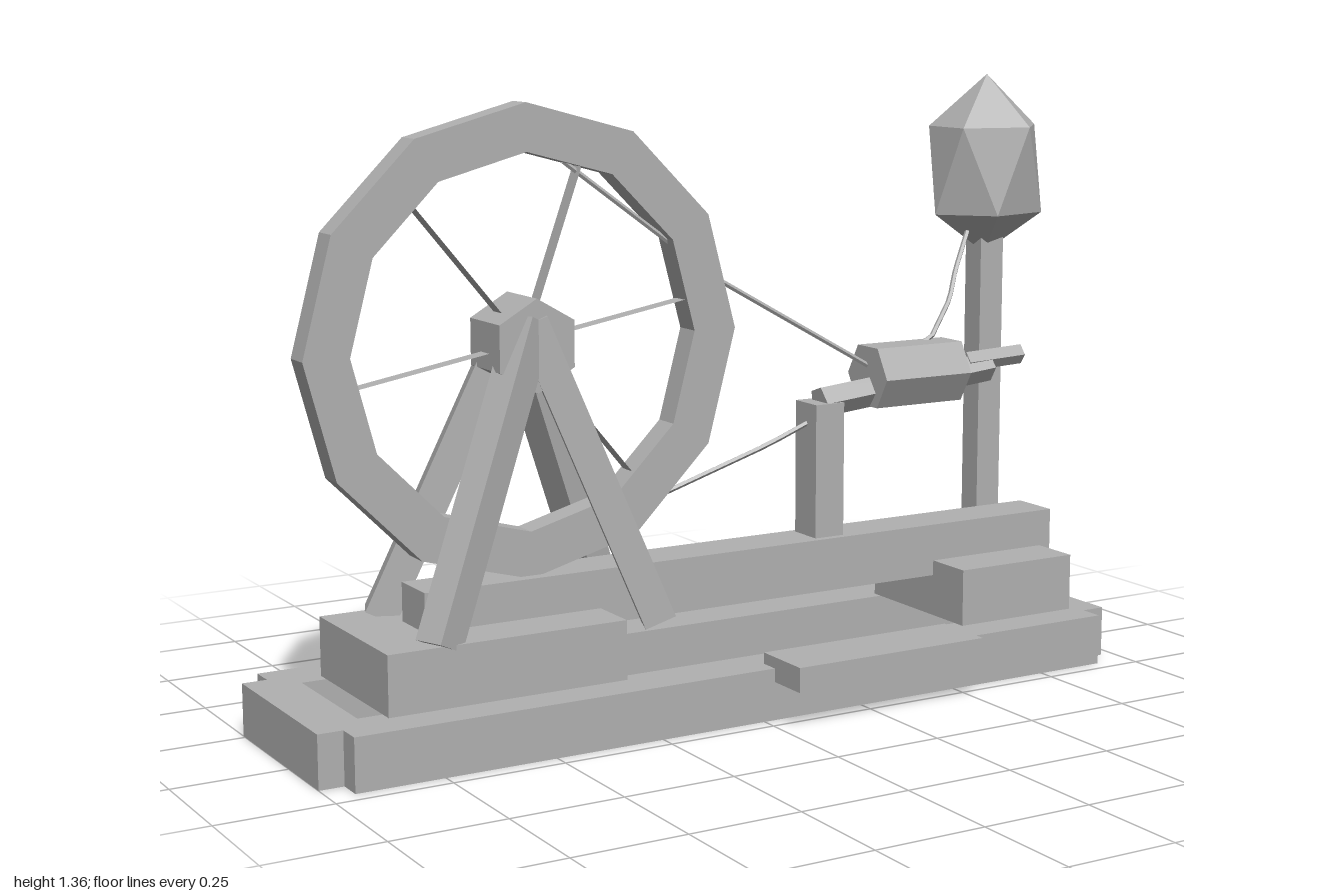
import * as THREE from 'three';
import { ConvexGeometry } from 'three/addons/geometries/ConvexGeometry.js';

const V = (x, y, z) => new THREE.Vector3(x, y, z);

export function createModel() {
  const model = new THREE.Group();
  model.name = 'spinningWheel';
  const grey = new THREE.MeshStandardMaterial({ color: 0xb0b0b0, flatShading: true, side: THREE.DoubleSide });
  grey.name = 'plain grey';

  const add = (name, geometry, parent = model) => {
    const mesh = new THREE.Mesh(geometry, grey);
    mesh.name = name;
    parent.add(mesh);
    return mesh;
  };
  // Box given by its min and max on each axis
  const box = (name, x0, x1, y0, y1, z0, z1) => {
    const mesh = add(name, new THREE.BoxGeometry(x1 - x0, y1 - y0, z1 - z0));
    mesh.position.set((x0 + x1) / 2, (y0 + y1) / 2, (z0 + z1) / 2);
    return mesh;
  };
  // Prism with the given number of sides running from a to b
  const prism = (name, a, b, radius, sides) => {
    const dir = b.clone().sub(a);
    const mesh = add(name, new THREE.CylinderGeometry(radius, radius, dir.length(), sides));
    mesh.position.copy(a).add(b).multiplyScalar(0.5);
    mesh.quaternion.setFromUnitVectors(V(0, 1, 0), dir.normalize());
    return mesh;
  };
  // Thin cord through a few points
  const cord = (name, points, radius) => {
    const path = new THREE.CurvePath();
    for (let i = 1; i < points.length; i++) path.add(new THREE.LineCurve3(points[i - 1], points[i]));
    return add(name, new THREE.TubeGeometry(path, (points.length - 1) * 4, radius, 5));
  };
  const outline = (pts, Type) => new Type(pts.map(([x, y]) => new THREE.Vector2(x, y)));

  // Base frame: two long rails and two end rails around an opening
  const frame = outline([
    [-0.945, -0.215], [0.915, -0.215], [0.915, -0.16], [0.97, -0.16], [0.97, 0.26], [0.915, 0.26],
    [0.915, 0.315], [-0.945, 0.315], [-0.945, 0.26], [-1, 0.26], [-1, -0.16], [-0.945, -0.16],
  ], THREE.Shape);
  frame.holes.push(outline([[-0.89, -0.1], [-0.89, 0.2], [0.86, 0.2], [0.86, -0.1]], THREE.Path));
  add('baseFrame', new THREE.ExtrudeGeometry(frame, { depth: 0.115, bevelEnabled: false }))
    .rotation.x = -Math.PI / 2;

  // Blocks, beam, posts and pedal
  box('wheelBlock', -0.835, -0.29, 0.115, 0.245, -0.23, 0.13);
  box('distaffBlock', 0.585, 0.895, 0.115, 0.245, -0.225, 0.13);
  box('beam', -0.7, 0.925, 0.21, 0.33, -0.103, 0.013);
  box('spindlePost', 0.27, 0.345, 0.33, 0.635, -0.09, -0.005);
  box('distaffPost', 0.825, 0.89, 0.24, 0.98, -0.205, -0.145);
  box('pedal', 0.025, 0.505, 0.085, 0.14, 0.17, 0.315);

  // Wheel: twelve-sided rim, six flat spokes and a hexagonal hub
  const wheel = new THREE.Group();
  wheel.name = 'wheel';
  wheel.position.set(-0.44, 0.825, -0.045);
  model.add(wheel);
  const ring = (r) => Array.from({ length: 12 }, (_, i) =>
    [r * Math.cos(i * Math.PI / 6), r * Math.sin(i * Math.PI / 6)]);
  const rim = outline(ring(0.502), THREE.Shape);
  rim.holes.push(outline(ring(0.4), THREE.Path));
  add('rim', new THREE.ExtrudeGeometry(rim, { depth: 0.062, bevelEnabled: false }), wheel)
    .position.z = -0.031;
  for (let i = 0; i < 6; i++) {
    const plate = new THREE.PlaneGeometry(0.34, 0.04);
    plate.rotateX(-Math.PI / 2).translate(0.23, 0, 0);
    add('spoke', plate, wheel).rotation.z = (10 + 60 * i) * Math.PI / 180;
  }
  add('hub', new THREE.CylinderGeometry(0.1, 0.1, 0.14, 6), wheel).rotation.x = Math.PI / 2;

  // Four splayed square legs, aligned with their own horizontal heading
  for (const side of [1, -1]) {
    for (const [footX, footY, spread] of [[-0.71, 0.24, 0.15], [-0.19, 0.225, 0.135]]) {
      const top = V(-0.44, 0.875, -0.047 + side * 0.04);
      const foot = V(footX, footY, -0.047 + side * spread);
      const up = top.clone().sub(foot);
      const leg = add('wheelLeg', new THREE.BoxGeometry(0.07, up.length(), 0.07));
      leg.position.copy(top).add(foot).multiplyScalar(0.5);
      const across = V(0, 1, 0).cross(up).normalize();
      up.normalize();
      leg.quaternion.setFromRotationMatrix(
        new THREE.Matrix4().makeBasis(across, up, across.clone().cross(up)));
    }
  }

  // Spindle with hexagonal bobbin and slim tip
  prism('spindle', V(0.305, 0.634, -0.047), V(0.775, 0.68, -0.047), 0.036, 5);
  const bobbin = new THREE.CylinderGeometry(0.079, 0.079, 0.235, 6);
  bobbin.rotateZ(Math.PI / 2);
  add('bobbin', bobbin).position.set(0.552, 0.682, -0.045);
  prism('spindleTip', V(0.71, 0.695, -0.047), V(0.868, 0.702, -0.047), 0.024, 5);

  // Fibre bundle: stretched twenty-faced solid on top of its post
  const bundle = [V(0, 0.212, 0), V(0, -0.212, 0)];
  for (let i = 0; i < 5; i++) {
    const a = i * Math.PI * 0.4;
    const x = 0.144 * Math.cos(a), z = 0.117 * Math.sin(a);
    bundle.push(V(x, 0.09, z), V(-x, -0.115, -z));
  }
  add('fibreBundle', new ConvexGeometry(bundle)).position.set(0.856, 1.143, -0.175);

  // Drive cords and yarn
  cord('upperDriveCord', [V(-0.34, 1.2, -0.045), V(-0.09, 1.02, -0.045), V(0.04, 0.925, -0.035), V(0.45, 0.7, -0.05)], 0.006);
  cord('lowerDriveCord', [V(-0.16, 0.45, -0.045), V(-0.1, 0.467, -0.045), V(0.17, 0.55, -0.045), V(0.45, 0.655, -0.05)], 0.006);
  cord('yarn', [V(0.54, 0.72, -0.065), V(0.63, 0.755, -0.07), V(0.71, 0.835, -0.11), V(0.74, 0.9, -0.13), V(0.8, 1.0, -0.16)], 0.006);

  return model;
}
